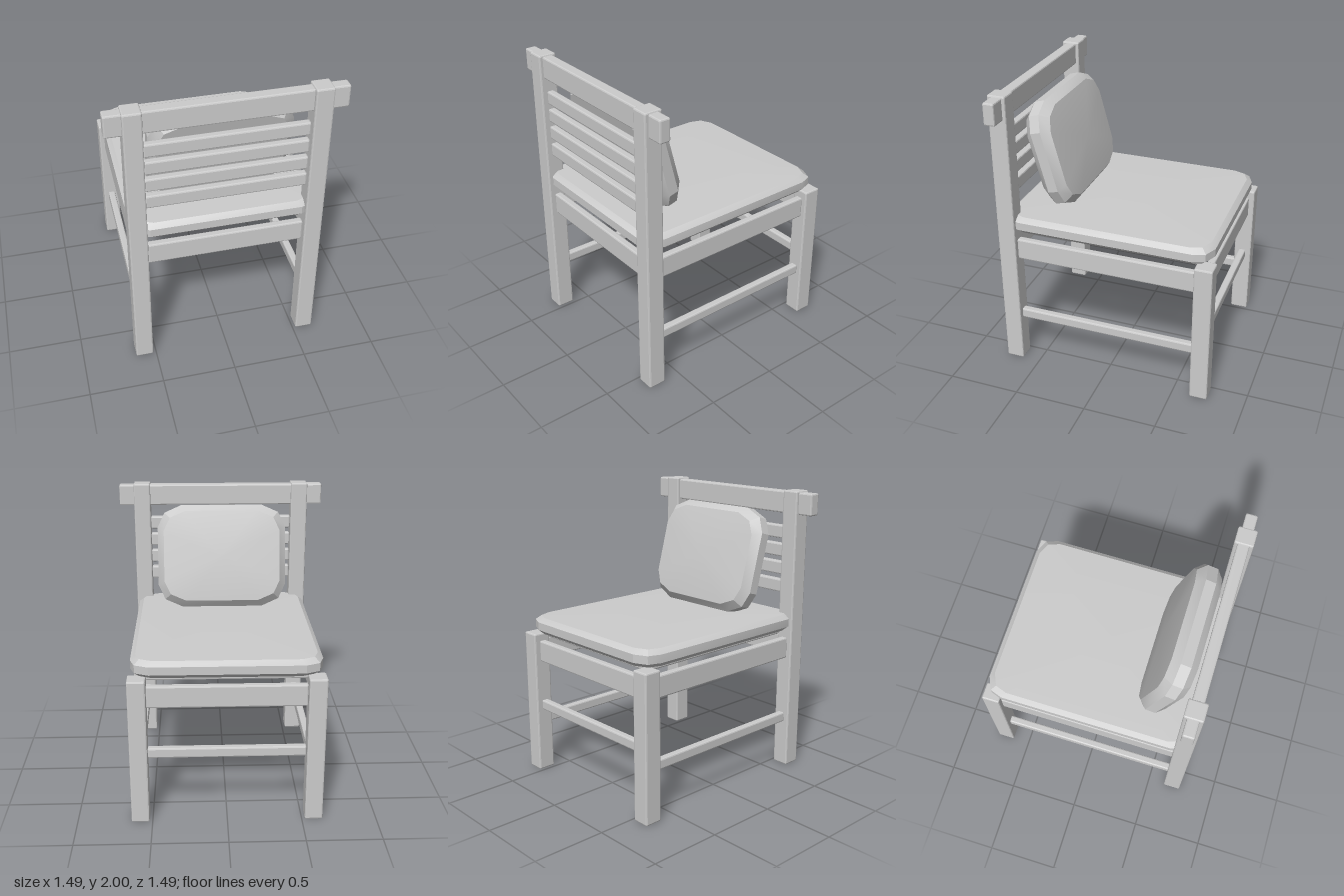
import * as THREE from 'three';
import { RoundedBoxGeometry } from 'three/addons/geometries/RoundedBoxGeometry.js';
import { toCreasedNormals } from 'three/addons/utils/BufferGeometryUtils.js';

const wood = new THREE.MeshStandardMaterial({ color: 0xcccccc, flatShading: true });
const fabric = new THREE.MeshStandardMaterial({ color: 0xcccccc });

// Bevelled bar given by its minimum and maximum corners
function bar(parent, name, [x0, y0, z0], [x1, y1, z1]) {
  const geo = new RoundedBoxGeometry(x1 - x0, y1 - y0, z1 - z0, 1, 0.01);
  const mesh = new THREE.Mesh(geo, wood);
  mesh.name = name;
  mesh.position.set((x0 + x1) / 2, (y0 + y1) / 2, (z0 + z1) / 2);
  parent.add(mesh);
}

// Bevelled cushion lying flat: corner = outline points of the +x +z quarter,
// rings = [height, inset] from bottom to top, dome = height of the top centre
function cushion(name, corner, rings, dome) {
  const back = [...corner].reverse();
  const outline = [
    ...corner,
    ...back.map(([x, z]) => [-x, z]),
    ...corner.map(([x, z]) => [-x, -z]),
    ...back.map(([x, z]) => [x, -z]),
  ];
  const hw = corner[0][0], hl = corner[corner.length - 1][1], n = outline.length;
  const pos = [], index = [];
  for (const [y, inset] of rings)
    for (const [x, z] of outline) pos.push(x * (1 - inset / hw), y, z * (1 - inset / hl));
  pos.push(0, rings[0][0], 0, 0, dome, 0);
  const bottom = rings.length * n, top = bottom + 1, last = bottom - n;
  for (let i = 0; i < n; i++) {
    const j = (i + 1) % n;
    for (let r = 0; r < rings.length - 1; r++) {
      const a = r * n + i, b = r * n + j;
      index.push(a, a + n, b, b, a + n, b + n);
    }
    index.push(bottom, i, j, top, last + j, last + i);
  }
  const geo = new THREE.BufferGeometry();
  geo.setAttribute('position', new THREE.Float32BufferAttribute(pos, 3));
  geo.setIndex(index);
  const mesh = new THREE.Mesh(toCreasedNormals(geo, 0.35), fabric);
  mesh.name = name;
  return mesh;
}

export function createModel() {
  const chair = new THREE.Group();
  chair.name = 'chair';

  // Legs, side aprons and side stretchers
  for (const s of [-1, 1]) {
    const x = s * 0.58;
    bar(chair, 'backPost', [x - 0.06, 0, 0.623], [x + 0.06, 2, 0.747]);
    bar(chair, 'frontLeg', [x - 0.06, 0, -0.747], [x + 0.06, 1.02, -0.623]);
    bar(chair, 'sideApron', [x - 0.025, 0.82, -0.625], [x + 0.025, 0.97, 0.625]);
    bar(chair, 'sideStretcher', [x - 0.025, 0.335, -0.625], [x + 0.025, 0.405, 0.625]);
    const z = s * 0.685;
    bar(chair, s > 0 ? 'backApron' : 'frontApron', [-0.52, 0.82, z - 0.025], [0.52, 0.97, z + 0.025]);
  }
  bar(chair, 'frontStretcher', [-0.52, 0.46, -0.71], [0.52, 0.53, -0.66]);

  // Backrest
  bar(chair, 'topRail', [-0.747, 1.84, 0.645], [0.747, 1.99, 0.722]);
  for (let i = 0; i < 4; i++) {
    const y = 1.32 + i * 0.128;
    bar(chair, 'backSlat', [-0.52, y - 0.046, 0.66], [0.52, y + 0.046, 0.71]);
  }

  // Seat
  bar(chair, 'seatBoard', [-0.525, 0.98, -0.63], [0.525, 1.03, 0.63]);
  chair.add(cushion('seatCushion',
    [[0.62, 0.6], [0.59, 0.685], [0.5, 0.725]],
    [[1.025, 0.03], [1.055, 0], [1.11, 0], [1.14, 0.033]], 1.16));

  // Pillow leaning towards the backrest
  const pillow = cushion('backPillow',
    [[0.465, 0.21], [0.415, 0.315], [0.29, 0.37]],
    [[-0.088, 0.045], [-0.035, 0], [0.035, 0], [0.088, 0.045]], 0.124);
  pillow.rotation.x = -1.309;
  pillow.position.set(0, 1.5, 0.46);
  chair.add(pillow);

  return chair;
}
